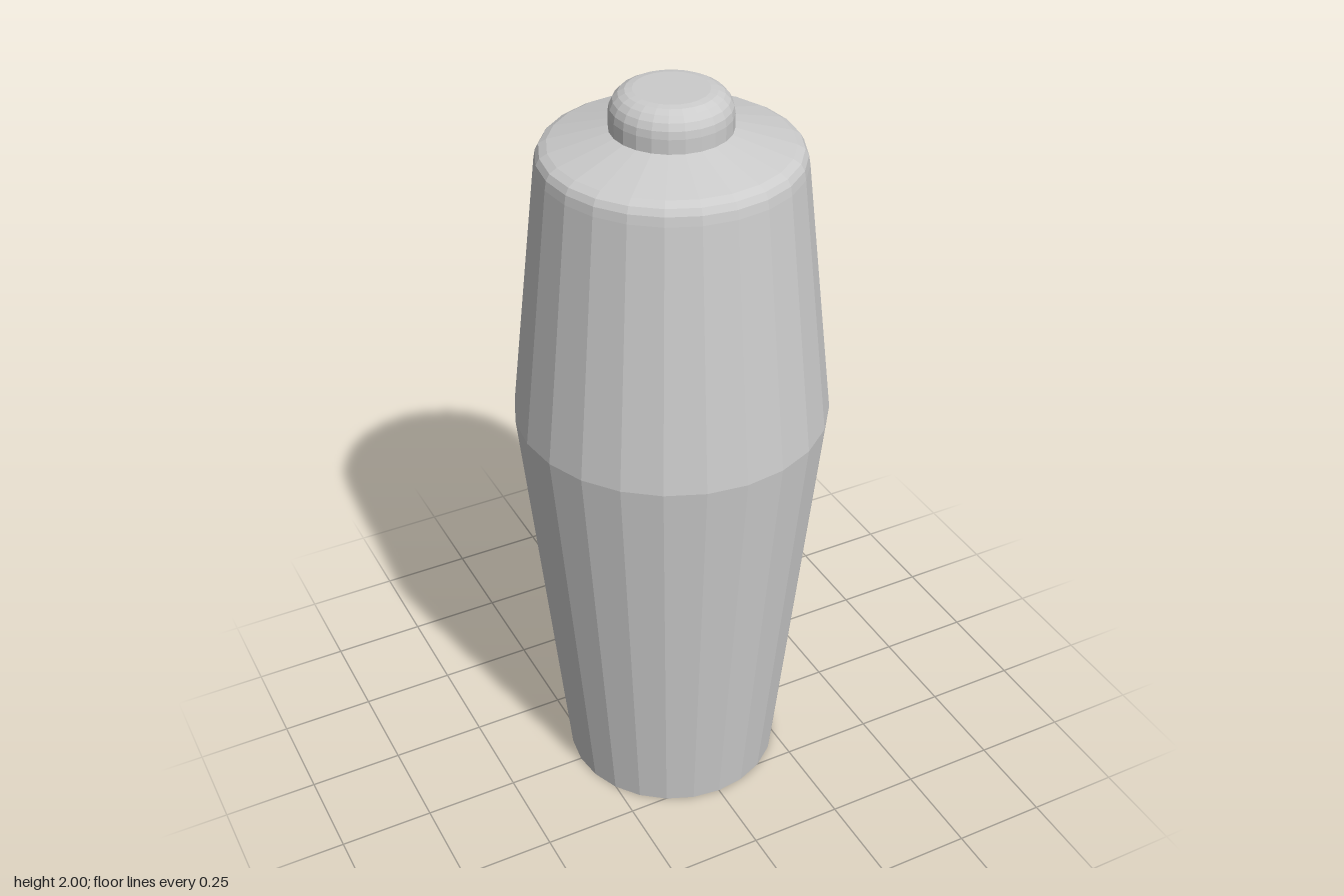
import * as THREE from 'three';

const SIDES = 24;
const material = new THREE.MeshStandardMaterial({ color: 0xcccccc, flatShading: true });

// Faceted solid of revolution from [radius, height] pairs, listed bottom to top
function turned(name, profile) {
  const points = profile.map(([r, y]) => new THREE.Vector2(r, y));
  const mesh = new THREE.Mesh(new THREE.LatheGeometry(points, SIDES), material);
  mesh.name = name;
  return mesh;
}

// Quarter-round from a vertical wall inwards to a flat top
function roundedEdge(radius, top, width, height, steps) {
  return Array.from({ length: steps + 1 }, (_, i) => {
    const a = (i / steps) * Math.PI / 2;
    return [radius - width * (1 - Math.cos(a)), top - height * (1 - Math.sin(a))];
  });
}

export function createModel() {
  const group = new THREE.Group();
  group.name = 'canister';

  // Lower half: closed base, widening up to the waist
  group.add(turned('lowerBody', [[0, 0], [0.29, 0], [0.402, 1.135]]));

  // Upper half: tapers in, rounded shoulder, shallow cone up to the knob
  group.add(turned('upperBody', [
    [0.402, 1.135], [0.325, 1.815], [0.321, 1.838], [0.312, 1.854], [0.293, 1.865],
    [0.145, 1.905],
  ]));

  // Knob with softened rim
  group.add(turned('topKnob', [
    [0.148, 1.895], ...roundedEdge(0.148, 2, 0.057, 0.06, 5), [0, 2],
  ]));

  return group;
}
